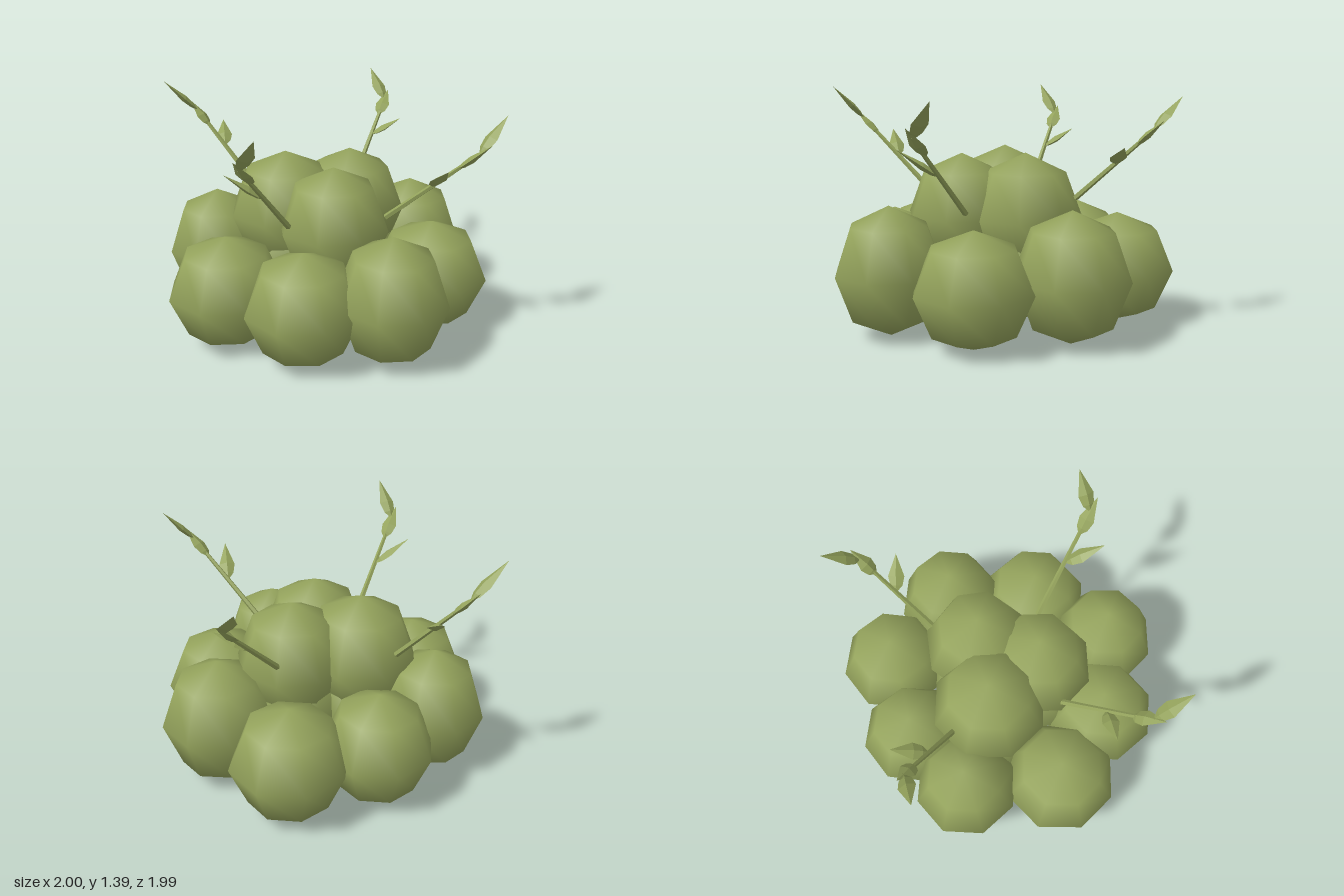
import * as THREE from 'three';

const leafGreen = new THREE.MeshStandardMaterial({ color: 0x94a35c });
leafGreen.name = 'leaf green';
const twigGreen = new THREE.MeshStandardMaterial({ color: 0x94a35c, flatShading: true });
twigGreen.name = 'twig green';

const UP = new THREE.Vector3(0, 1, 0);

// Low-poly foliage ball: octagonal in plan and in profile, smooth shaded
const ball = new THREE.SphereGeometry(1, 8, 4);

// Leaf of unit length along y, wide in x and thin in z
const leafProfile = [[0, 0], [0.75, 0.18], [1, 0.42], [0, 1]].map(([r, y]) => new THREE.Vector2(r, y));
const leafShape = new THREE.LatheGeometry(leafProfile, 4);

function lobe(name, [x, y, z, r, ry, turn]) {
  const m = new THREE.Mesh(ball, leafGreen);
  m.name = name;
  m.position.set(x, y, z);
  m.scale.set(r, ry, r);
  m.rotation.y = turn;
  return m;
}

function leaf(base, tip) {
  const m = new THREE.Mesh(leafShape, twigGreen);
  m.name = 'leaf';
  const dir = tip.clone().sub(base);
  const len = dir.length();
  dir.normalize();
  const side = new THREE.Vector3().crossVectors(UP, dir).normalize();
  const normal = new THREE.Vector3().crossVectors(side, dir);
  m.quaternion.setFromRotationMatrix(new THREE.Matrix4().makeBasis(side, dir, normal));
  m.position.copy(base);
  m.scale.set(0.048, len, 0.02);
  return m;
}

// Tapered stem with two side leaves and one leaf lying along its end
function twig({ base, end, low, high }) {
  const g = new THREE.Group();
  g.name = 'twig';
  const a = new THREE.Vector3(...base), b = new THREE.Vector3(...end);
  const at = (t) => a.clone().lerp(b, t);
  const dir = b.clone().sub(a);
  const stem = new THREE.Mesh(new THREE.CylinderGeometry(0.011, 0.018, dir.length(), 5), twigGreen);
  stem.name = 'stem';
  stem.position.copy(at(0.5));
  stem.quaternion.setFromUnitVectors(UP, dir.clone().normalize());
  g.add(stem);
  g.add(leaf(at(0.5), new THREE.Vector3(...low)));
  g.add(leaf(at(0.97), new THREE.Vector3(...high)));
  g.add(leaf(at(0.76), at(1.1)));
  return g;
}

export function createModel() {
  const bush = new THREE.Group();
  bush.name = 'bush';

  // Lower ring: x, y, z, radius, half height, turn
  const ring = [
    [0.14, 0.375, 0.675, 0.322, 0.375, 0.12],
    [0.55, 0.33, 0.33, 0.345, 0.33, 0.05],
    [0.665, 0.375, -0.2, 0.335, 0.375, 0.03],
    [0.37, 0.33, -0.66, 0.34, 0.33, 0],
    [-0.14, 0.33, -0.66, 0.322, 0.33, 0],
    [-0.56, 0.375, -0.43, 0.315, 0.375, 0.06],
    [-0.655, 0.33, 0.14, 0.345, 0.33, 0.1],
    [-0.32, 0.33, 0.51, 0.34, 0.33, 0.03],
  ];
  ring.forEach((p) => bush.add(lobe('lowerFoliage', p)));

  // Upper cluster
  const crown = [
    [-0.015, 0.65, 0.18, 0.33, 0.36, 0.15],
    [-0.19, 0.66, -0.175, 0.348, 0.37, 0.1],
    [0.21, 0.65, -0.13, 0.335, 0.37, 0.26],
  ];
  crown.forEach((p) => bush.add(lobe('upperFoliage', p)));

  // Inner cluster closing the underside, one ball below each upper one
  const inner = [
    [-0.02, 0.345, 0.17, 0.33, 0.335, 0.15],
    [-0.18, 0.365, -0.17, 0.33, 0.345, 0.1],
    [0.2, 0.365, -0.13, 0.33, 0.345, 0.26],
  ];
  inner.forEach((p) => bush.add(lobe('innerFoliage', p)));

  // Four sprouting twigs
  const twigs = [
    { base: [-0.31, 0.71, 0.24], end: [-0.68, 1.2, 0.61], low: [-0.71, 1.11, 0.4], high: [-0.65, 1.39, 0.8] },
    { base: [0.28, 0.7, 0.27], end: [0.64, 1.17, 0.69], low: [0.43, 1.09, 0.71], high: [0.81, 1.35, 0.65] },
    { base: [0.36, 0.76, -0.38], end: [0.7, 1.18, -0.69], low: [0.72, 1.08, -0.48], high: [0.67, 1.35, -0.88] },
    { base: [-0.32, 0.76, -0.43], end: [-0.6, 1.2, -0.74], low: [-0.42, 1.1, -0.78], high: [-0.8, 1.39, -0.72] },
  ];
  twigs.forEach((t) => bush.add(twig(t)));

  return bush;
}
